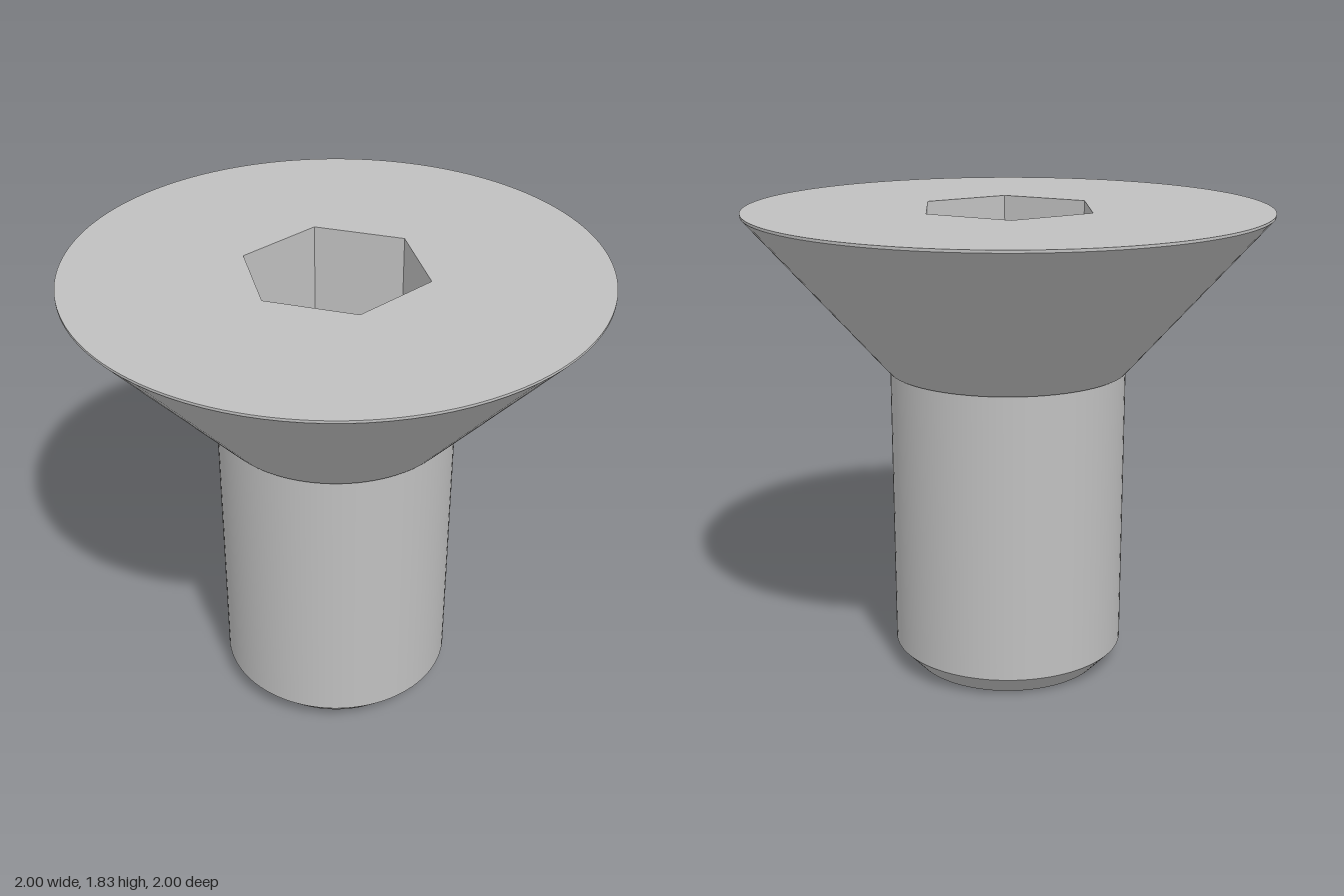
import * as THREE from 'three';

const SEGMENTS = 96;
const TOP = 1.83;          // top of the head
const SOCKET_R = 0.353;    // hex socket corner radius
const SOCKET_DEPTH = 0.37;

export function createModel() {
  const group = new THREE.Group();
  group.name = 'countersunkScrew';

  const steel = new THREE.MeshStandardMaterial({ color: 0xc0c0c0 });
  steel.name = 'steel grey';

  const add = (name, geometry, parent = group) => {
    const mesh = new THREE.Mesh(geometry, steel);
    mesh.name = name;
    parent.add(mesh);
    return mesh;
  };

  // Turned surfaces, one per profile segment so the edges between stay sharp
  const profile = [
    ['tipFace', 0, 0],
    ['tipChamfer', 0.38, 0],
    ['shank', 0.459, 0.085],
    ['headStep', 0.459, 1.213],
    ['headCone', 0.468, 1.213],
    ['headRim', 1, 1.82],
    ['end', 1, TOP],
  ];
  for (let i = 0; i < profile.length - 1; i++) {
    const [name, r0, y0] = profile[i];
    const [, r1, y1] = profile[i + 1];
    add(name, new THREE.LatheGeometry(
      [new THREE.Vector2(r0, y0), new THREE.Vector2(r1, y1)], SEGMENTS));
  }

  // Flat head top with a hexagonal opening
  const disc = new THREE.Shape().absarc(0, 0, 1, 0, Math.PI * 2, false);
  const hex = [];
  for (let i = 0; i < 6; i++) {
    const a = -i * Math.PI / 3;
    hex.push(new THREE.Vector2(SOCKET_R * Math.cos(a), SOCKET_R * Math.sin(a)));
  }
  disc.holes.push(new THREE.Path(hex));
  const top = add('headTop', new THREE.ShapeGeometry(disc, SEGMENTS));
  top.rotation.x = -Math.PI / 2;
  top.position.y = TOP;

  // Hex socket: six inward-facing walls and a floor
  const socket = new THREE.Group();
  socket.name = 'hexSocket';
  group.add(socket);
  const apothem = SOCKET_R * Math.cos(Math.PI / 6);
  for (let i = 0; i < 6; i++) {
    const wall = new THREE.PlaneGeometry(SOCKET_R, SOCKET_DEPTH);
    wall.translate(0, TOP - SOCKET_DEPTH / 2, -apothem);
    wall.rotateY(i * Math.PI / 3);
    add('socketWall', wall, socket);
  }
  const floor = add('socketFloor', new THREE.CircleGeometry(SOCKET_R, 6), socket);
  floor.rotation.x = -Math.PI / 2;
  floor.position.y = TOP - SOCKET_DEPTH;

  return group;
}
